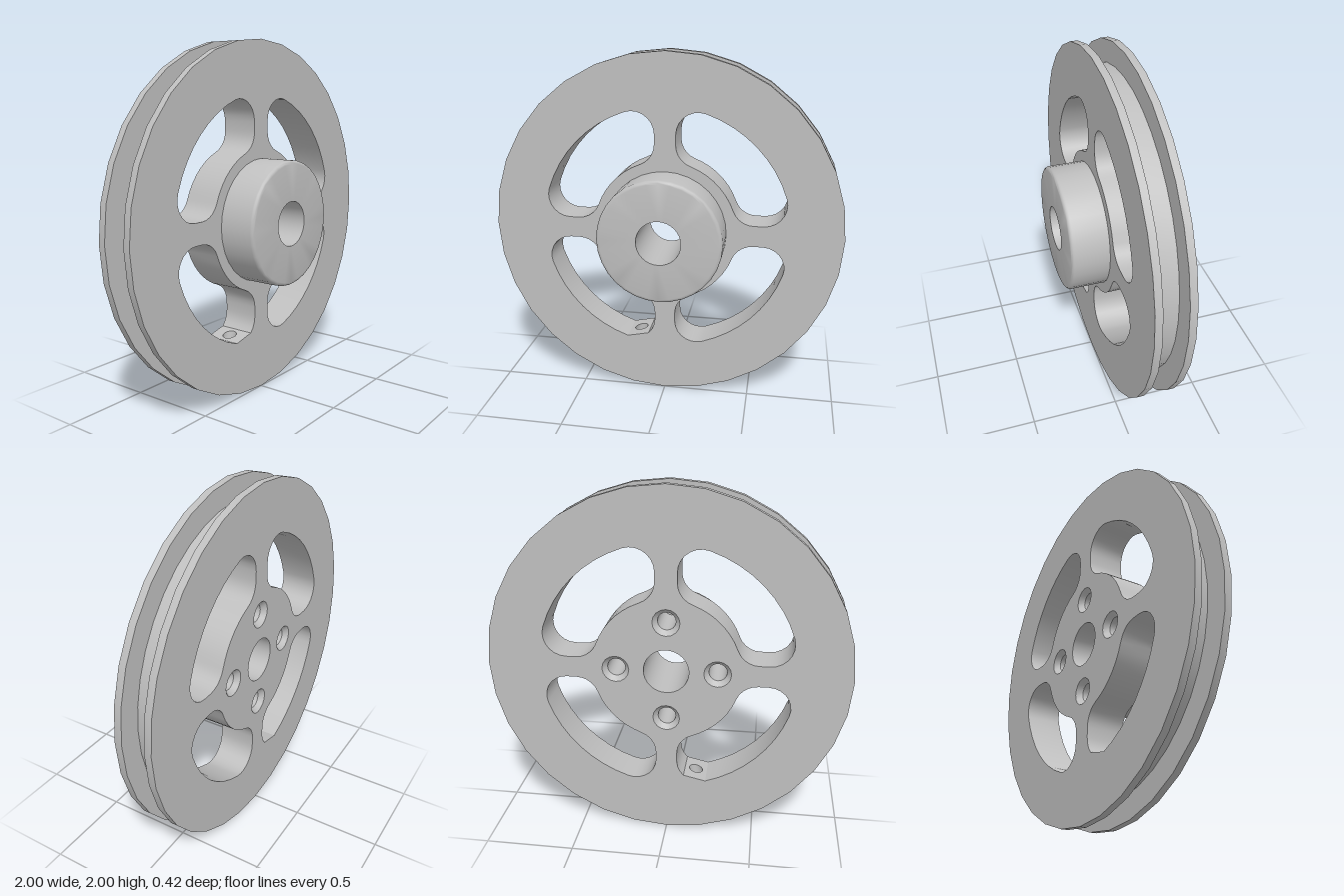
import * as THREE from 'three';
import { toCreasedNormals } from 'three/addons/utils/BufferGeometryUtils.js';

const V2 = THREE.Vector2, V3 = THREE.Vector3;
const BACK = -0.21, GROOVE_BACK = -0.17, GROOVE_FRONT = -0.04;
const RIM = 1, GROOVE = 0.875, HUB = 0.35, BORE = 0.125;
const CORD_ANGLE = THREE.MathUtils.degToRad(256.5), CORD_R = 0.04, CORD_Z = -0.105;

function arc(cx, cy, r, a0, a1, n) {
  return Array.from({ length: n + 1 }, (_, i) => {
    const a = a0 + (a1 - a0) * i / n;
    return new V2(cx + r * Math.cos(a), cy + r * Math.sin(a));
  });
}
const circle = (r, n, cx = 0, cy = 0) => arc(cx, cy, r, 0, Math.PI * 2, n).slice(0, n);
const atZ = (pts, z) => pts.map(p => new V3(p.x, p.y, z));

// Quads between two closed loops, leaving out the edge numbered skip
function loft(a, b, skip = -1) {
  const pos = [];
  a.forEach((p, i) => {
    if (i === skip) return;
    const j = (i + 1) % a.length;
    for (const v of [p, a[j], b[j], p, b[j], b[i]]) pos.push(v.x, v.y, v.z);
  });
  const g = new THREE.BufferGeometry();
  g.setAttribute('position', new THREE.Float32BufferAttribute(pos, 3));
  return toCreasedNormals(g, 0.6);
}

// Flat face at height z, facing forward or (flip) backward
function cap(outer, holes, z, flip) {
  const s = new THREE.Shape(outer);
  s.holes = holes.map(h => new THREE.Path(h));
  const g = new THREE.ShapeGeometry(s).translate(0, 0, z);
  if (flip) {
    g.index.array.reverse();
    g.computeVertexNormals();
  }
  return g;
}

// Turned part around the z axis
function turned(profile, n) {
  const g = new THREE.LatheGeometry(profile.map(p => new V2(...p)), n).rotateX(Math.PI / 2);
  return toCreasedNormals(g, 0.6);
}

// Counter-clockwise outline of one spoke window, turned by k quarter turns
function windowOutline(k) {
  const s = 0.06, r = 0.125, inner = 0.41, outer = 0.71, a = s + r, P = Math.PI;
  const yo = Math.sqrt((outer - r) ** 2 - a * a), yi = Math.sqrt((inner + r) ** 2 - a * a);
  const fo = Math.atan2(yo, a), fi = Math.atan2(yi, a);
  const pts = [
    ...arc(0, 0, outer, P / 2 - fo, fo, 8),
    ...arc(a, yo, r, fo, P, 7),
    ...arc(a, yi, r, P, P + fi, 5),
    ...arc(0, 0, inner, fi, P / 2 - fi, 7),
    ...arc(yi, a, r, 1.5 * P - fi, 1.5 * P, 5),
    ...arc(yo, a, r, -P / 2, P / 2 - fo, 7),
  ];
  return pts
    .filter((p, i) => p.distanceTo(pts[(i + 1) % pts.length]) > 1e-4)
    .map(p => p.rotateAround(new V2(), k * P / 2));
}

const angleOf = p => (Math.atan2(p.y, p.x) + 2 * Math.PI) % (2 * Math.PI);

// Edge of a loop crossed by the cord hole (outermost one at that angle)
function cordEdge(pts) {
  let best = -1, far = 0;
  pts.forEach((p, i) => {
    const q = pts[(i + 1) % pts.length];
    const d0 = angleOf(p) - CORD_ANGLE, d1 = angleOf(q) - CORD_ANGLE;
    const r = (p.length() + q.length()) / 2;
    if (d0 * d1 <= 0 && Math.abs(d0 - d1) < 1 && r > far) { far = r; best = i; }
  });
  return best;
}

// Flat wall panel pierced by the cord hole
function piercedPanel(p, q, z0, z1) {
  const L = p.distanceTo(q), t = q.clone().sub(p).divideScalar(L);
  const rect = [new V2(0, z0), new V2(L, z0), new V2(L, z1), new V2(0, z1)];
  const g = cap(rect, [circle(CORD_R, 16, L / 2, CORD_Z)], 0, false);
  g.applyMatrix4(new THREE.Matrix4().makeBasis(
    new V3(t.x, t.y, 0), new V3(0, 0, 1), new V3(t.y, -t.x, 0)).setPosition(p.x, p.y, 0));
  return g;
}

// Mouth of the cord hole on an edge; dir sets which way round it runs
function cordMouth(p, q, dir) {
  const m = p.clone().add(q).multiplyScalar(0.5);
  const t = q.clone().sub(p).normalize().multiplyScalar(dir);
  return circle(CORD_R, 16).map(c => new V3(m.x + t.x * c.x, m.y + t.y * c.x, CORD_Z + c.y));
}

export function createModel() {
  const metal = new THREE.MeshStandardMaterial({ color: 0xbfbfbf });
  metal.name = 'grey metal';
  const model = new THREE.Group();
  model.name = 'pulleyWheel';
  const add = (name, g) => {
    const m = new THREE.Mesh(g, metal);
    m.name = name;
    m.position.y = 1;
    model.add(m);
  };

  const rim = circle(RIM, 32), groove = circle(GROOVE, 40);
  const windows = [0, 1, 2, 3].map(windowOutline);
  // One window gets a flat spot for the cord hole
  windows[2] = windows[2].filter(p => p.length() < 0.6 || Math.abs(angleOf(p) - CORD_ANGLE) > 0.075);
  const screws = [0, 1, 2, 3].map(k => new V2(0.28, 0).rotateAround(new V2(), k * Math.PI / 2));

  // Wheel faces
  add('frontFace', cap(rim, [...windows, circle(HUB, 32)], 0, false));
  add('backFace', cap(rim, [...windows, circle(BORE, 32),
    ...screws.map(s => circle(0.075, 16, s.x, s.y))], BACK, true));

  // Flanges on both sides of the groove
  add('frontFlangeEdge', loft(atZ(rim, GROOVE_FRONT), atZ(rim, 0)));
  add('backFlangeEdge', loft(atZ(rim, BACK), atZ(rim, GROOVE_BACK)));
  add('frontFlangeInside', cap(rim, [groove], GROOVE_FRONT, true));
  add('backFlangeInside', cap(rim, [groove], GROOVE_BACK, false));

  // Groove floor
  const gi = cordEdge(groove), g0 = groove[gi], g1 = groove[(gi + 1) % groove.length];
  add('grooveFloor', loft(atZ(groove, GROOVE_BACK), atZ(groove, GROOVE_FRONT), gi));
  add('groovePanel', piercedPanel(g0, g1, GROOVE_BACK, GROOVE_FRONT));

  // Window walls, facing into the openings
  windows.forEach((w, k) => {
    const loop = [...w].reverse();
    const i = k === 2 ? cordEdge(loop) : -1;
    add('windowWall', loft(atZ(loop, BACK), atZ(loop, 0), i));
    if (i < 0) return;
    const p = loop[i], q = loop[(i + 1) % loop.length];
    add('windowPanel', piercedPanel(p, q, BACK, 0));
    add('cordHole', loft(cordMouth(g0, g1, 1), cordMouth(p, q, -1)));
  });

  // Hub with rounded front edge and through bore
  const edge = arc(HUB - 0.02, 0.19, 0.02, 0, Math.PI / 2, 4).map(p => [p.x, p.y]);
  add('hub', turned([[HUB, 0], ...edge, [BORE, 0.21], [BORE, BACK]], 32));

  // Countersunk screw holes in the back
  for (const s of screws) {
    add('screwHole', turned([[0, 0.27], [0.05, 0.27], [0.05, 0.03], [0.075, 0]], 16)
      .translate(s.x, s.y, BACK));
  }
  return model;
}
